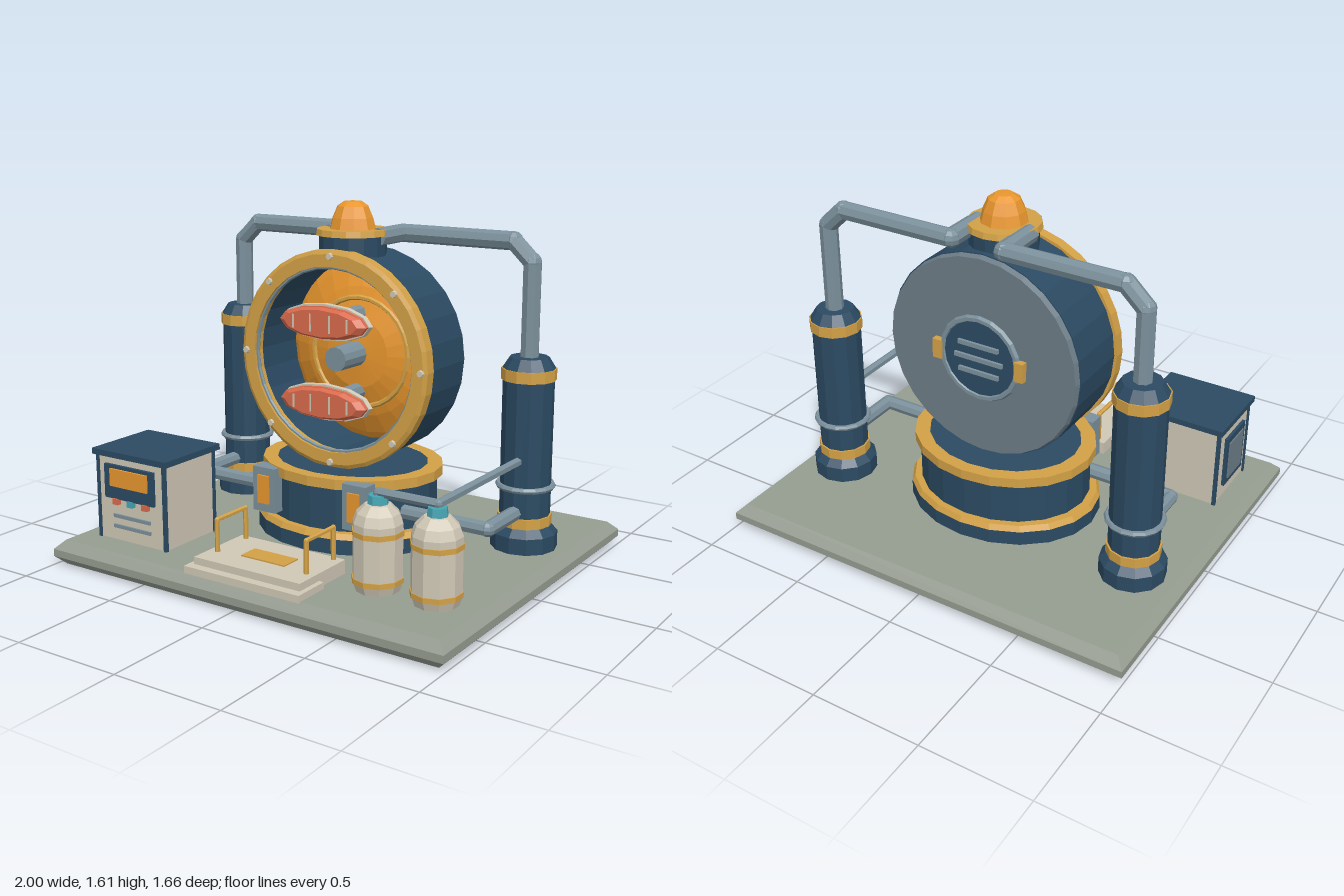
import * as THREE from 'three';

const C = {
  navy: 0x2b4a62, gold: 0xd3a146, orange: 0xe8962e, stone: 0x959c90, cream: 0xd0c8b6,
  red: 0xd96a4c, teal: 0x46a5b3, grey: 0x7b909b, plate: 0x6c7c86,
};
const mats = {};
const mat = (c) => (mats[c] ??= new THREE.MeshStandardMaterial({ color: C[c], flatShading: true }));

function add(parent, name, geo, color, x = 0, y = 0, z = 0) {
  const m = new THREE.Mesh(geo, mat(color));
  m.name = name;
  m.position.set(x, y, z);
  parent.add(m);
  return m;
}
function group(parent, name, x = 0, y = 0, z = 0) {
  const g = new THREE.Group();
  g.name = name;
  g.position.set(x, y, z);
  parent.add(g);
  return g;
}
// Box given by its min/max on each axis
const block = (p, name, color, x0, x1, y0, y1, z0, z1) =>
  add(p, name, new THREE.BoxGeometry(x1 - x0, y1 - y0, z1 - z0), color, (x0 + x1) / 2, (y0 + y1) / 2, (z0 + z1) / 2);
// Upright cylinder from y0 to y1
const drum = (p, name, color, r0, r1, y0, y1, seg = 12) =>
  add(p, name, new THREE.CylinderGeometry(r1, r0, y1 - y0, seg), color, 0, (y0 + y1) / 2, 0);
// Turned profile, optionally with its axis along z
function lathe(p, name, color, pts, seg, alongZ = false) {
  const g = new THREE.LatheGeometry(pts.map((a) => new THREE.Vector2(...a)), seg);
  if (alongZ) g.rotateX(Math.PI / 2);
  return add(p, name, g, color);
}
// Disc or short cylinder with its axis along z
function disc(p, name, color, r0, r1, z0, z1, seg, x = 0, y = 0) {
  const g = new THREE.CylinderGeometry(r1, r0, z1 - z0, seg).rotateX(Math.PI / 2);
  return add(p, name, g, color, x, y, (z0 + z1) / 2);
}
// Straight pipe lengths with a joint at each bend
function pipe(p, name, color, r, pts, seg = 8) {
  const g = group(p, name);
  const v = pts.map((a) => new THREE.Vector3(...a));
  for (let i = 0; i < v.length - 1; i++) {
    const d = v[i + 1].clone().sub(v[i]);
    const m = add(g, 'pipeLength', new THREE.CylinderGeometry(r, r, d.length(), seg), color);
    m.position.copy(v[i]).addScaledVector(d, 0.5);
    m.quaternion.setFromUnitVectors(new THREE.Vector3(0, 1, 0), d.normalize());
    if (i) add(g, 'pipeJoint', new THREE.SphereGeometry(r * 1.02, seg, 6), color, ...pts[i]);
  }
  return g;
}

function buildBase(root) {
  const s = new THREE.Shape([[-0.96, -0.79], [0.96, -0.79], [0.96, 0.79], [-0.96, 0.79]].map((a) => new THREE.Vector2(...a)));
  const g = new THREE.ExtrudeGeometry(s, { depth: 0.033, bevelSize: 0.04, bevelThickness: 0.04, bevelSegments: 1 });
  add(root, 'basePlate', g.rotateX(-Math.PI / 2).translate(0, 0.04, 0), 'stone');
}

function buildPedestal(root) {
  // Oval pedestal: wider in x than in z
  const p = group(root, 'pedestal', 0, 0, -0.085);
  p.scale.set(1, 1, 0.84);
  drum(p, 'pedestalFoot', 'navy', 0.455, 0.455, 0.11, 0.18, 20);
  drum(p, 'pedestalLowerBand', 'gold', 0.455, 0.44, 0.18, 0.205, 20);
  drum(p, 'pedestalBody', 'navy', 0.405, 0.405, 0.2, 0.41, 20);
  lathe(p, 'pedestalUpperBand', 'gold', [[0.36, 0.4], [0.43, 0.4], [0.43, 0.445], [0.36, 0.445]], 20);
  drum(p, 'pedestalTop', 'navy', 0.37, 0.37, 0.4, 0.44, 20);
  for (const s of [-1, 1]) {
    const g = group(root, 'pedestalPanel', s * 0.24, 0.335, 0.255);
    block(g, 'panelFrame', 'grey', -0.06, 0.06, -0.1, 0.105, -0.06, 0.015);
    block(g, 'panelInsert', 'orange', -0.03, 0.03, -0.06, 0.07, 0, 0.025);
  }
}

function buildChamber(root) {
  const c = group(root, 'chamber', 0, 0.922, 0);
  lathe(c, 'chamberShell', 'navy', [[0.43, -0.255], [0.475, -0.255], [0.475, 0.045], [0.42, 0.045], [0.42, -0.255]], 28, true);
  lathe(c, 'frontRing', 'gold', [[0.415, 0.035], [0.488, 0.035], [0.488, 0.085], [0.47, 0.095], [0.415, 0.095], [0.415, 0.035]], 32, true);
  add(c, 'innerTrim', new THREE.TorusGeometry(0.412, 0.01, 6, 32), 'grey', 0, 0, 0.075);
  for (let i = 0; i < 8; i++) {
    const a = (i * Math.PI) / 4;
    disc(c, 'ringBolt', 'cream', 0.017, 0.014, 0.09, 0.107, 8, 0.459 * Math.cos(a), 0.459 * Math.sin(a));
  }
  // Glowing dome at the back of the hollow
  lathe(c, 'innerDome', 'orange', [[0.425, -0.235], [0.39, -0.21], [0.3, -0.165], [0.16, -0.12], [0, -0.105]], 24, true);
  add(c, 'domeRing', new THREE.TorusGeometry(0.25, 0.012, 6, 28), 'gold', 0, 0, -0.145);
  disc(c, 'hub', 'grey', 0.058, 0.055, -0.13, 0.055, 12);
  // Two boat-shaped pads
  for (const s of [-1, 1]) {
    const g = group(c, 'pad', 0, s * 0.178, 0);
    disc(g, 'padPost', 'grey', 0.04, 0.04, -0.16, 0.11, 8);
    const face = (name, color, r0, r1, ratio, z0, z1) => {
      disc(g, name, color, r0, r1, z0, z1, 12).scale.y = ratio;
    };
    face('padBack', 'cream', 0.215, 0.235, 0.35, 0.095, 0.115);
    face('padRim', 'cream', 0.235, 0.228, 0.35, 0.115, 0.135);
    face('padFace', 'red', 0.225, 0.225, 0.32, 0.135, 0.155);
    face('padFront', 'red', 0.225, 0.19, 0.31, 0.155, 0.175);
    for (const x of [-0.14, -0.05, 0.05, 0.14]) {
      const h = 0.044 - Math.abs(x) * 0.1;
      block(g, 'padStripe', 'cream', x - 0.004, x + 0.004, -h, h, 0.16, 0.178);
    }
  }
  // Back plate with vent and clamps
  disc(c, 'backPlate', 'plate', 0.462, 0.472, -0.28, -0.25, 28);
  disc(c, 'ventDisc', 'navy', 0.18, 0.18, -0.292, -0.275, 16);
  add(c, 'ventRing', new THREE.TorusGeometry(0.187, 0.016, 6, 20), 'grey', 0, 0, -0.285);
  for (const [y, w] of [[-0.065, 0.1], [0, 0.12], [0.065, 0.1]])
    block(c, 'ventBar', 'grey', -w, w, y - 0.01, y + 0.01, -0.305, -0.285);
  for (const s of [-1, 1])
    block(c, 'ventClamp', 'gold', s * 0.205 - 0.022, s * 0.205 + 0.022, -0.045, 0.045, -0.31, -0.275);
}

function buildBeacon(root) {
  const b = group(root, 'beacon', 0, 0, -0.085);
  drum(b, 'beaconNeck', 'navy', 0.15, 0.15, 1.34, 1.465, 14);
  drum(b, 'beaconCollar', 'gold', 0.165, 0.16, 1.46, 1.487, 16);
  lathe(b, 'beaconLamp', 'orange', [[0.105, 1.485], [0.092, 1.535], [0.07, 1.585], [0.04, 1.605], [0, 1.607]], 10);
}

function buildTower(root, s, top) {
  const x = s * 0.77, z = -0.295;
  const t = group(root, 'tower', x, 0, z);
  drum(t, 'towerFoot', 'navy', 0.147, 0.147, 0.11, 0.185);
  drum(t, 'towerFootTaper', 'navy', 0.147, 0.115, 0.185, 0.22);
  drum(t, 'towerLowerBand', 'gold', 0.12, 0.12, 0.22, 0.265);
  drum(t, 'towerBody', 'navy', 0.112, 0.112, 0.2, top - 0.09);
  add(t, 'towerHoop', new THREE.TorusGeometry(0.12, 0.013, 6, 16).rotateX(Math.PI / 2), 'grey', 0, 0.395, 0);
  drum(t, 'towerUpperBand', 'gold', 0.12, 0.12, top - 0.098, top - 0.048);
  drum(t, 'towerCap', 'navy', 0.115, 0.085, top - 0.048, top);
  // Overhead pipe to the neck and low pipe to the pedestal
  pipe(root, 'overheadPipe', 'grey', 0.041, [[x, top - 0.02, z], [x, 1.37, z], [s * 0.68, 1.455, z], [s * 0.127, 1.455, z], [s * 0.127, 1.455, -0.085]]);
  pipe(root, 'lowPipe', 'grey', 0.033, [[s * 0.36, 0.287, 0.055], [x, 0.287, 0.055], [x, 0.287, -0.23]]);
}

function buildConsole(root) {
  const g = group(root, 'console');
  block(g, 'consoleBody', 'cream', -0.868, -0.482, 0.115, 0.5, 0.328, 0.66);
  block(g, 'consoleLid', 'navy', -0.89, -0.46, 0.498, 0.525, 0.305, 0.675);
  for (const x of [-0.867, -0.483]) for (const z of [0.33, 0.658])
    block(g, 'consoleEdge', 'navy', x - 0.008, x + 0.008, 0.112, 0.5, z - 0.008, z + 0.008);
  block(g, 'displayBezel', 'navy', -0.82, -0.535, 0.31, 0.465, 0.65, 0.675);
  block(g, 'displayScreen', 'orange', -0.78, -0.565, 0.37, 0.45, 0.66, 0.685);
  [-0.755, -0.67, -0.585].forEach((x, i) =>
    block(g, 'consoleButton', i === 1 ? 'teal' : 'red', x - 0.016, x + 0.016, 0.285, 0.312, 0.65, 0.682));
  for (const y of [0.18, 0.228]) block(g, 'consoleSlot', 'grey', -0.78, -0.565, y - 0.008, y + 0.008, 0.65, 0.668);
  block(g, 'sidePanelFrame', 'navy', -0.882, -0.86, 0.18, 0.43, 0.4, 0.6);
  block(g, 'sidePanel', 'plate', -0.888, -0.87, 0.21, 0.4, 0.425, 0.575);
}

function buildStep(root) {
  const g = group(root, 'entryStep', 0.034, 0, 0);
  block(g, 'lowerStep', 'cream', -0.295, 0.295, 0.11, 0.142, 0.625, 0.8);
  block(g, 'upperStep', 'cream', -0.272, 0.272, 0.11, 0.174, 0.435, 0.76);
  block(g, 'treadPlate', 'gold', -0.112, 0.112, 0.17, 0.18, 0.55, 0.645);
  for (const x of [-0.23, 0.23])
    pipe(g, 'handrail', 'gold', 0.011, [[x, 0.17, 0.46], [x, 0.315, 0.46], [x, 0.315, 0.655], [x, 0.17, 0.655]], 6);
}

function buildTanks(root) {
  for (const x of [0.507, 0.78]) {
    const t = group(root, 'tank', x, 0, 0.5);
    lathe(t, 'tankBody', 'cream', [[0, 0.112], [0.092, 0.112], [0.105, 0.15], [0.105, 0.4], [0.09, 0.44], [0.055, 0.475], [0, 0.48]], 10);
    for (const y of [0.16, 0.36]) drum(t, 'tankBand', 'gold', 0.109, 0.109, y - 0.011, y + 0.011, 10);
    drum(t, 'tankValve', 'teal', 0.045, 0.04, 0.465, 0.512, 8);
  }
  pipe(root, 'feedPipe', 'grey', 0.02, [[0.507, 0.49, 0.5], [0.507, 0.522, 0.5], [0.78, 0.522, 0.5], [0.78, 0.522, -0.22]], 6);
}

export function createModel() {
  const root = new THREE.Group();
  root.name = 'machineStation';
  buildBase(root);
  buildPedestal(root);
  buildChamber(root);
  buildBeacon(root);
  buildTower(root, -1, 1.055);
  buildTower(root, 1, 0.965);
  buildConsole(root);
  buildStep(root);
  buildTanks(root);
  return root;
}
